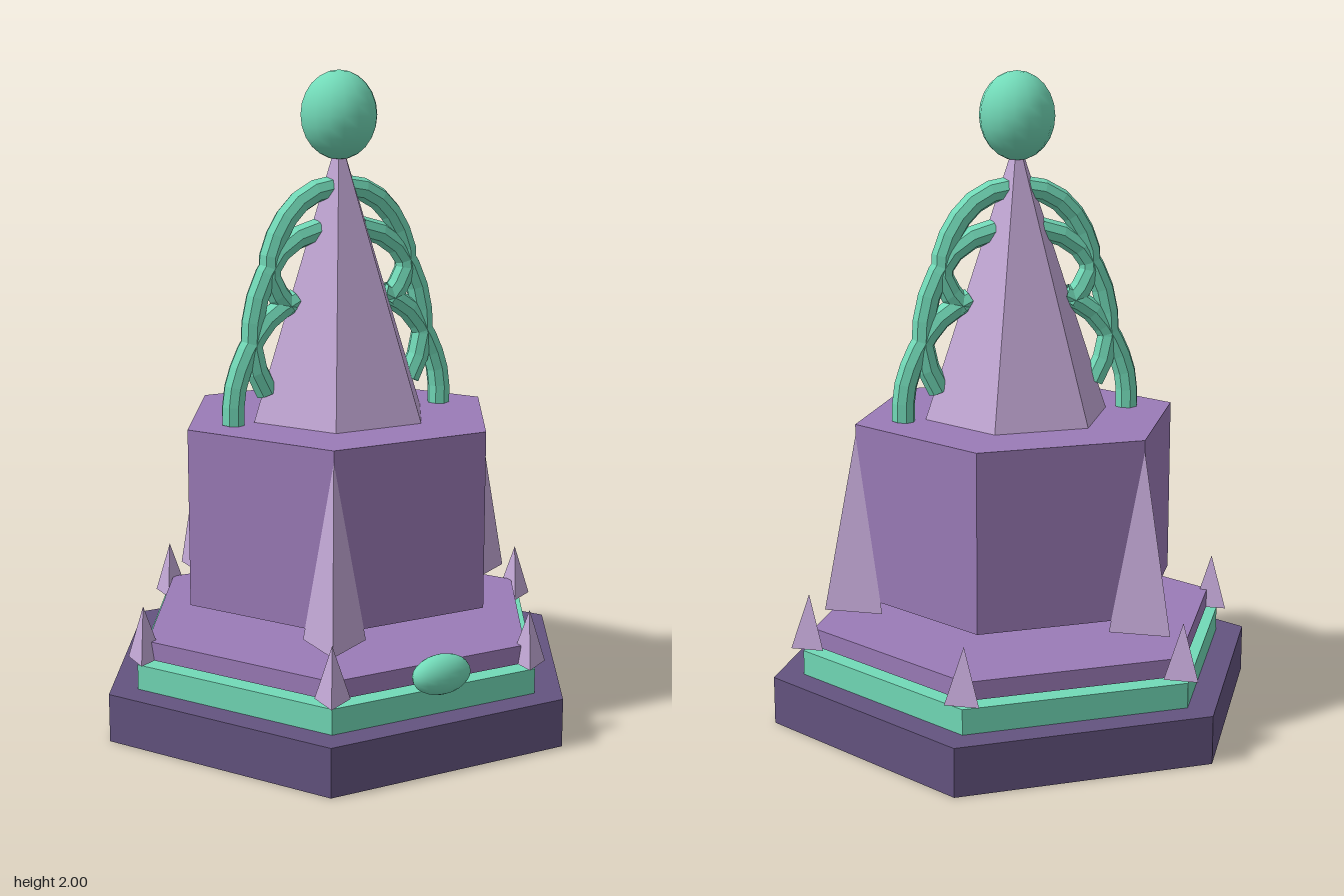
import * as THREE from 'three';

const makeMaterial = (name, color) => {
  const m = new THREE.MeshStandardMaterial({ color });
  m.name = name;
  return m;
};

// Faceted copy of a geometry, so flat and smooth parts can share a material
const flat = (geometry) => {
  const g = geometry.toNonIndexed();
  g.computeVertexNormals();
  return g;
};

export function createModel() {
  const darkPurple = makeMaterial('dark purple', 0x645480);
  const purple = makeMaterial('purple', 0x9b7bb8);
  const lilac = makeMaterial('lilac', 0xc3a8d6);
  const teal = makeMaterial('teal', 0x72dab8);
  teal.side = THREE.DoubleSide; // vine tubes are open at the ends

  const model = new THREE.Group();
  const add = (name, geometry, material, x = 0, y = 0, z = 0) => {
    const mesh = new THREE.Mesh(geometry, material);
    mesh.name = name;
    mesh.position.set(x, y, z);
    model.add(mesh);
    return mesh;
  };

  // Prism or pyramid with one corner towards +x, spanning y0 to y1
  const solid = (name, sides, bottom, top, y0, y1, material, x = 0, z = 0) => {
    const g = top > 0
      ? new THREE.CylinderGeometry(top, bottom, y1 - y0, sides)
      : new THREE.ConeGeometry(bottom, y1 - y0, sides);
    g.rotateY(Math.PI / 2);
    return add(name, flat(g), material, x, (y0 + y1) / 2, z);
  };

  // Stepped hexagonal plinth
  solid('base', 6, 0.79, 0.79, 0, 0.15, darkPurple);
  solid('trimBand', 6, 0.695, 0.695, 0.15, 0.228, teal);
  solid('upperSlab', 6, 0.66, 0.66, 0.24, 0.297, purple);

  // Floating body and spire
  solid('body', 6, 0.517, 0.517, 0.39, 0.94, purple);
  solid('spire', 6, 0.295, 0, 0.94, 1.81, lilac);

  // Small spikes on the plinth corners
  for (let i = 0; i < 6; i++) {
    const a = (i * Math.PI) / 3;
    solid('cornerSpike', 3, 0.06, 0, 0.24, 0.41, lilac, 0.673 * Math.cos(a), 0.673 * Math.sin(a));
  }

  // Three tall spikes on alternate body corners
  for (let i = 0; i < 3; i++) {
    const a = (i * Math.PI * 2) / 3;
    solid('bodySpike', 3, 0.107, 0, 0.355, 0.905, lilac, 0.517 * Math.cos(a), 0.517 * Math.sin(a));
  }

  // Ball finial and oval front gem
  const ball = new THREE.SphereGeometry(1, 16, 12);
  add('finial', ball, teal, 0, 1.865, 0).scale.set(0.115, 0.135, 0.127);
  add('frontGem', ball, teal, 0, 0.281, 0.628).scale.set(0.096, 0.06, 0.049);

  // Interlaced vines arching from the body to the top of the spire
  const vines = [
    [[0.365, 0.94], [0.36, 1.04], [0.315, 1.16], [0.24, 1.26], [0.15, 1.31]],
    [[0.25, 1.03], [0.295, 1.13], [0.298, 1.24], [0.262, 1.37], [0.18, 1.48], [0.07, 1.52]],
    [[0.17, 1.28], [0.235, 1.37], [0.232, 1.46], [0.165, 1.58], [0.09, 1.633], [0.02, 1.647]],
  ];
  for (const side of [1, -1]) {
    for (const points of vines) {
      const path = new THREE.CatmullRomCurve3(points.map(([x, y]) => new THREE.Vector3(side * x, y, 0)));
      add(side > 0 ? 'leftVine' : 'rightVine', flat(new THREE.TubeGeometry(path, 8, 0.036, 8)), teal);
    }
  }

  return model;
}
